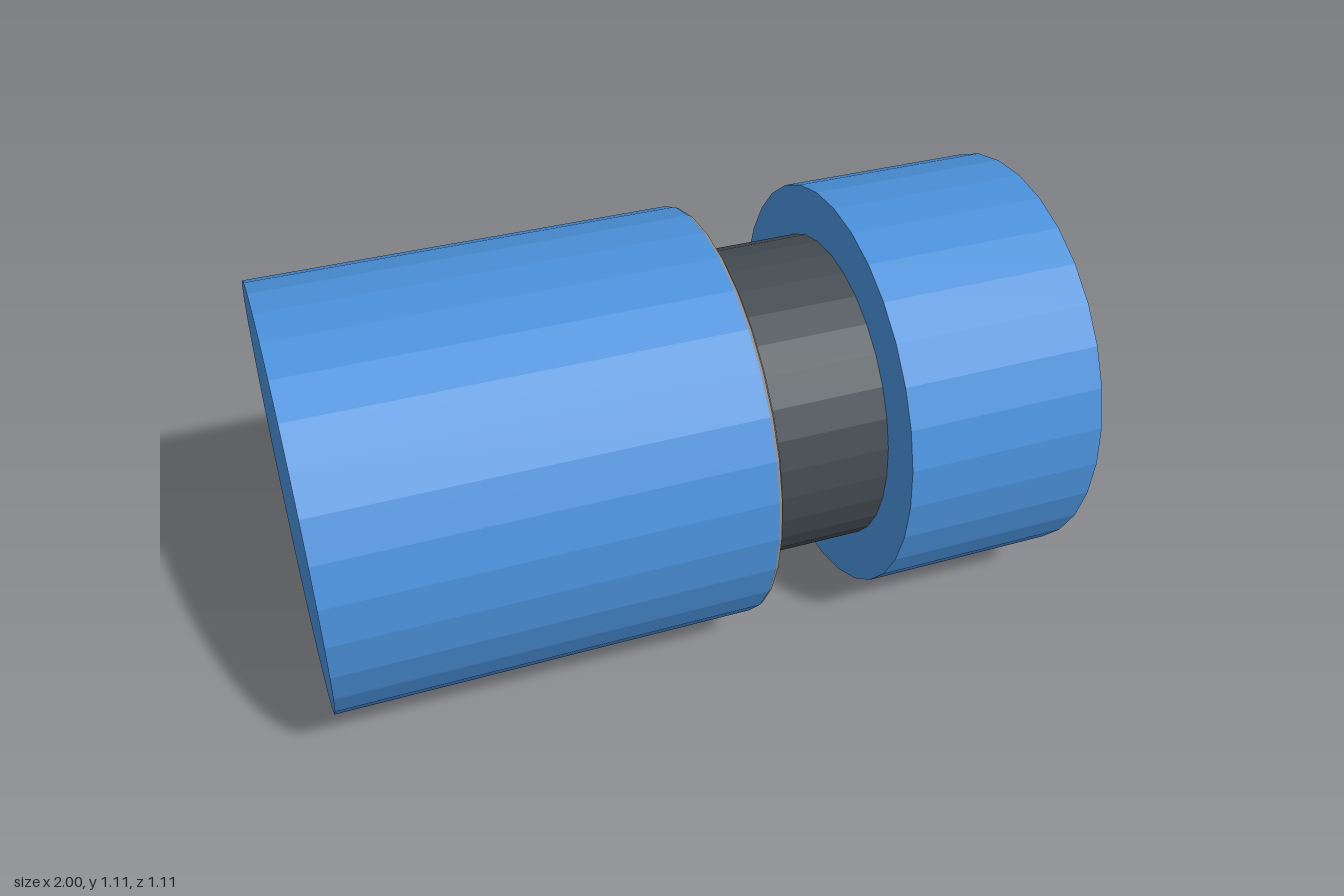
import * as THREE from 'three';

const SIDES = 32;
const AXIS_Y = 0.555;

export function createModel() {
  const model = new THREE.Group();
  model.name = 'pushFitCylinder';

  const paint = (color) => new THREE.MeshStandardMaterial({ color, flatShading: true });
  const blue = paint(0x4a90d9);
  const dark = paint(0x444c52);
  const grey = paint(0x8c8c8c);

  // Lays a geometry turned about y along the x axis
  const add = (name, geometry, material, x) => {
    const mesh = new THREE.Mesh(geometry.rotateZ(-Math.PI / 2), material);
    mesh.name = name;
    mesh.position.set(x, AXIS_Y, 0);
    model.add(mesh);
  };

  // Solid drum between two x positions
  const drum = (name, radius, x0, x1, material) =>
    add(name, new THREE.CylinderGeometry(radius, radius, x1 - x0, SIDES), material, (x0 + x1) / 2);

  drum('body', 0.555, -1, 0.11, blue);
  drum('neck', 0.42, 0.1, 0.475, dark);
  drum('cap', 0.555, 0.465, 1, blue);

  // Bevelled rim around the open end of the body
  const profile = [[0.555, 0], [0.55, 0.01], [0.53, 0.02], [0.51, 0.02], [0.49, 0.01], [0.485, 0]]
    .map(([r, h]) => new THREE.Vector2(r, h));
  add('rimRing', new THREE.LatheGeometry(profile, SIDES), grey, 0.109);

  return model;
}
